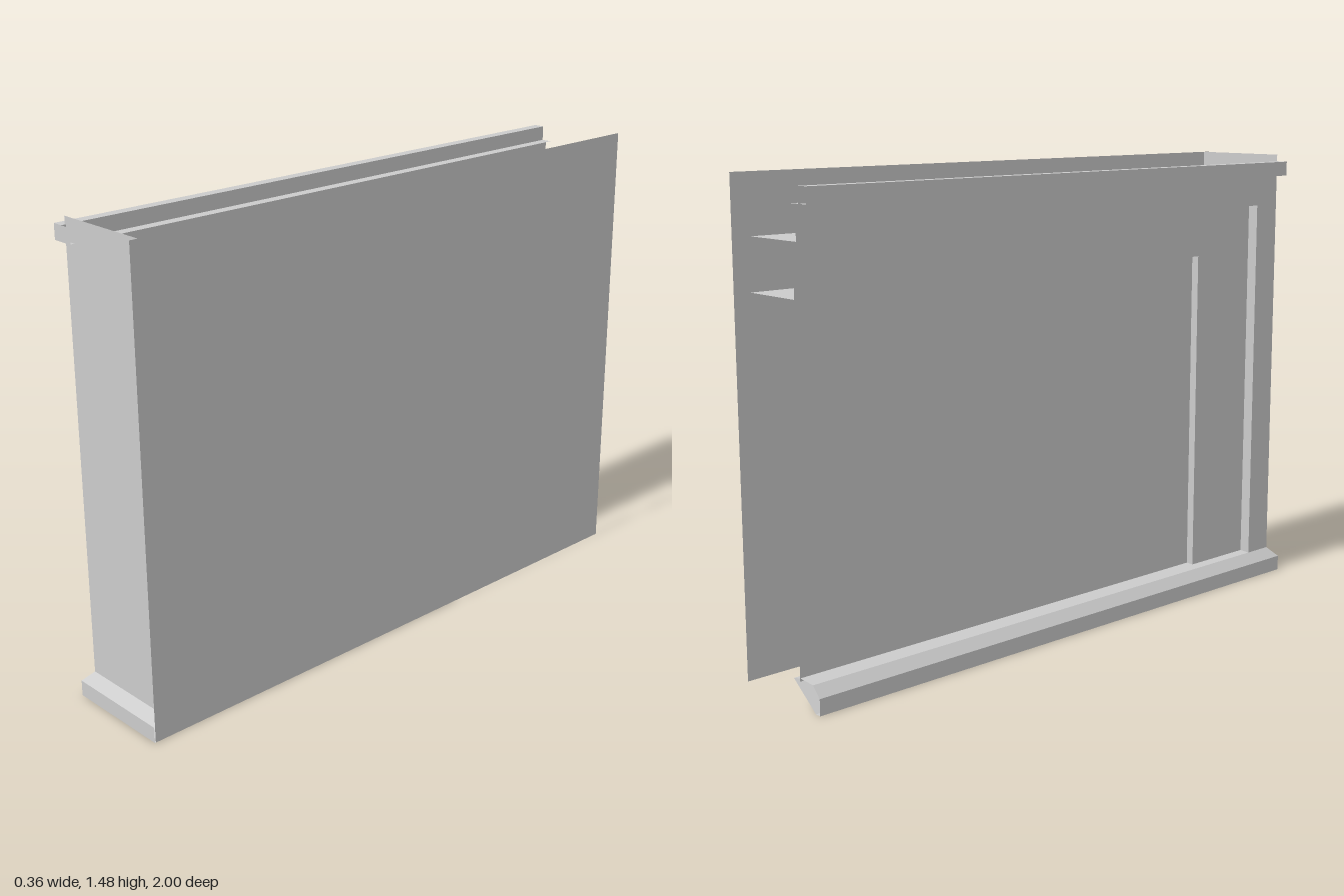
import * as THREE from 'three';

const material = new THREE.MeshStandardMaterial({
  color: 0xcccccc, flatShading: true, side: THREE.DoubleSide,
});

// Loft a surface through rows of equally many [x, y, z] points
function loft(name, rows) {
  const n = rows[0].length;
  const index = [];
  for (let r = 0; r < rows.length - 1; r++) {
    for (let i = 0; i < n - 1; i++) {
      const a = r * n + i, b = a + n;
      index.push(a, a + 1, b, b, a + 1, b + 1);
    }
  }
  const geometry = new THREE.BufferGeometry();
  geometry.setAttribute('position', new THREE.Float32BufferAttribute(rows.flat(2), 3));
  geometry.setIndex(index);
  const flat = geometry.toNonIndexed();
  flat.computeVertexNormals();
  const mesh = new THREE.Mesh(flat, material);
  mesh.name = name;
  return mesh;
}

// Upright sheet following a plan of [x, z] points
const upright = (name, plan, y0, y1) =>
  loft(name, [y0, y1].map((y) => plan.map(([x, z]) => [x, y, z])));

// Long sheet following a section of [x, y] points
const along = (name, section, z0, z1) =>
  loft(name, [z0, z1].map((z) => section.map(([x, y]) => [x, y, z])));

export function createModel() {
  const group = new THREE.Group();
  const left = 0.18, right = -0.18, back = -1, height = 1.475;
  const post = -0.15, panel = -0.114, wall = -0.088;
  const base = 0.075, lowSoffit = 1.15, highSoffit = 1.305;

  // Large plain side and the front end
  group.add(upright('plainSide', [[left, back], [left, 0.997]], 0, height));
  group.add(upright('frontPanel', [[post, 0.97], [left, 0.97]], 0.03, height));

  // Corner post and the stepped recesses of the panelled side
  group.add(upright('cornerPost', [[post, 0.97], [post, 0.87]], base, 1.41));
  group.add(upright('outerRecessSide', [[post, 0.87], [0.085, 0.87]], base, highSoffit));
  group.add(upright('outerRecessPanel', [[panel, 0.87], [panel, 0.613]], base, highSoffit));
  group.add(upright('upperRecessBand', [[panel, 0.613], [panel, back]], lowSoffit, highSoffit));
  group.add(upright('innerRecessSide', [[panel, 0.613], [0.095, 0.613]], base, lowSoffit));
  group.add(upright('innerRecessPanel', [[wall, 0.613], [wall, back]], base, lowSoffit));

  // Soffits over the recesses
  group.add(along('lowerSoffit', [[panel, lowSoffit], [0.095, lowSoffit]], back, 0.613));
  group.add(along('upperSoffit', [[-0.13, highSoffit], [0.085, highSoffit]], back, 0.87));

  // Frieze and stepped crown moulding
  group.add(along('frieze', [[-0.13, highSoffit], [-0.13, 1.405]], back, 0.97));
  group.add(along('crownMoulding', [
    [-0.11, 1.405], [-0.145, 1.405], [-0.145, 1.452], [right, 1.452], [right, 1.405], [-0.145, 1.405],
  ], back, 0.985));
  group.add(upright('crownEnd', [[right, 0.985], [-0.105, 0.985]], 1.405, 1.452));

  // Mitred skirting: [inset from side, inset from front, height]
  const profile = [
    [0.122, 0.08, 0.078], [0.09, 0.055, 0.085], [0.03, 0.03, 0.082],
    [0, 0, 0.05], [0, 0, 0], [0.02, 0.015, 0], [0.122, 0.08, 0.078],
  ];
  group.add(loft('skirting', [
    profile.map(([, dz, y]) => [left, y, 1 - dz]),
    profile.map(([dx, dz, y]) => [right + dx, y, 1 - dz]),
    profile.map(([dx, , y]) => [right + dx, y, back]),
  ]));

  return group;
}
